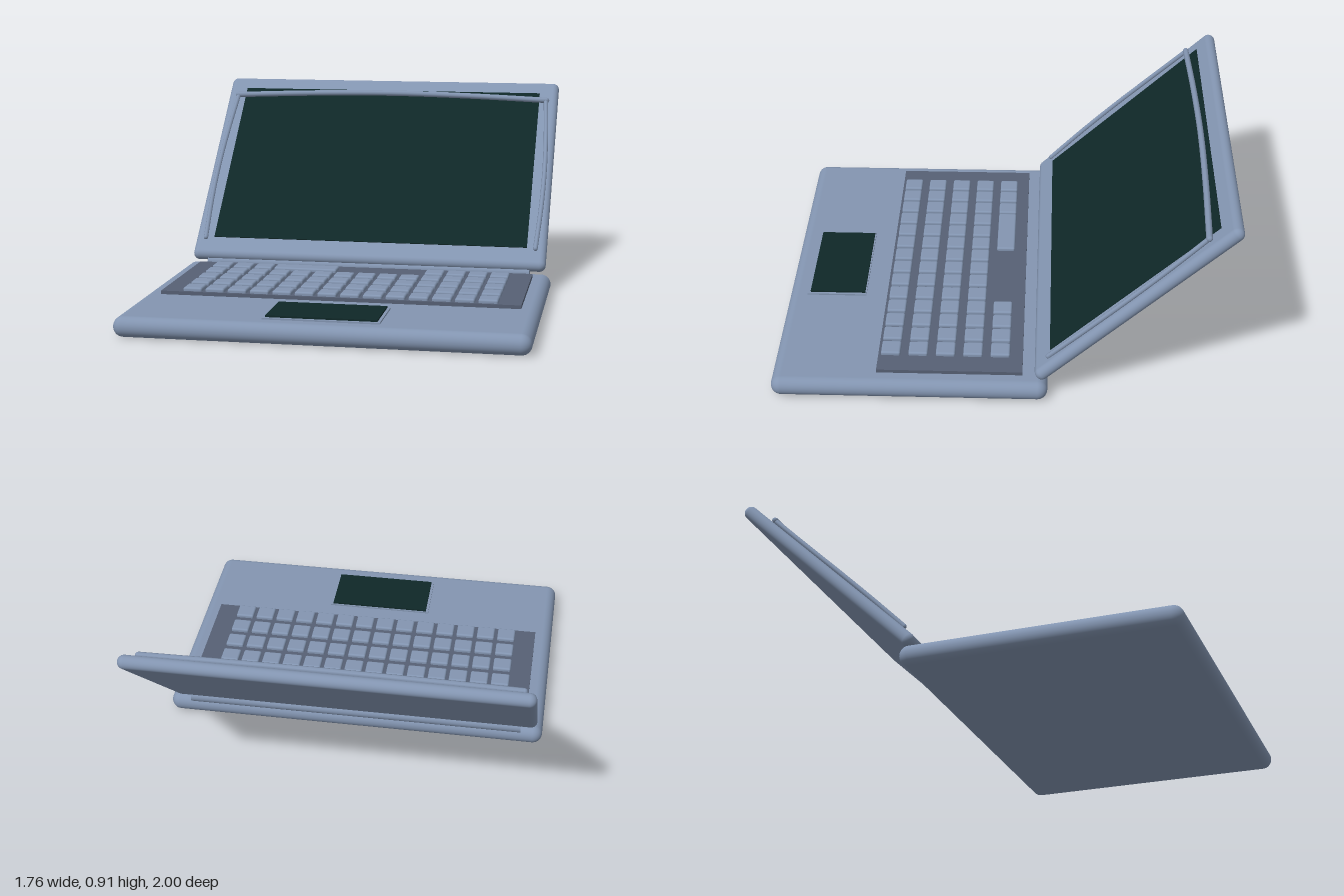
import * as THREE from 'three';
import { RoundedBoxGeometry } from 'three/addons/geometries/RoundedBoxGeometry.js';

const material = (name, color) => {
  const m = new THREE.MeshStandardMaterial({ color });
  m.name = name;
  return m;
};

export function createModel() {
  const casing = material('blue grey casing', 0x8395b1);
  const deck = material('dark grey deck', 0x566074);
  const glass = material('dark green glass', 0x0f2727);

  const model = new THREE.Group();
  model.name = 'laptop';

  const add = (parent, name, geometry, mat, x = 0, y = 0, z = 0) => {
    const mesh = new THREE.Mesh(geometry, mat);
    mesh.name = name;
    mesh.position.set(x, y, z);
    parent.add(mesh);
    return mesh;
  };

  // Base with fully rounded rim
  add(model, 'base', new RoundedBoxGeometry(1.76, 0.09, 1.21, 5, 0.0445), casing, 0, 0.045, 0.395);

  // Keyboard deck and trackpad
  add(model, 'keyboardDeck', new THREE.BoxGeometry(1.6, 0.025, 0.64), deck, 0, 0.0935, 0.22);
  add(model, 'trackpadFrame', new THREE.BoxGeometry(0.5, 0.012, 0.275), casing, 0, 0.091, 0.777);
  add(model, 'trackpad', new THREE.BoxGeometry(0.475, 0.009, 0.255), glass, 0, 0.1, 0.773);

  // Keys: the rear row has a long bar and a gap
  const keys = new THREE.Group();
  keys.name = 'keys';
  model.add(keys);
  const keyShape = new RoundedBoxGeometry(0.086, 0.03, 0.086, 2, 0.009);
  for (let row = 0; row < 5; row++) {
    for (let col = 0; col < 14; col++) {
      if (row === 0 && col > 2 && col < 10) continue;
      add(keys, 'key', keyShape, casing, -0.659 + col * 0.1012, 0.107, row * 0.1213);
    }
  }
  add(keys, 'longKey', new RoundedBoxGeometry(0.298, 0.03, 0.086, 2, 0.009), casing, -0.254, 0.107, 0);

  // Hinge barrel
  const hinge = add(model, 'hinge', new THREE.CylinderGeometry(0.03, 0.03, 1.56, 16), casing, 0, 0.092, -0.183);
  hinge.rotation.z = Math.PI / 2;

  // Lid, built upright from its lower edge and leaned back
  const lid = new THREE.Group();
  lid.name = 'lid';
  lid.position.set(0, 0.13, -0.185);
  lid.rotation.x = -Math.atan2(0.785, 0.75);
  model.add(lid);
  add(lid, 'lidPanel', new RoundedBoxGeometry(1.71, 1.146, 0.06, 5, 0.0295), casing, 0, 0.543, 0);
  add(lid, 'screen', new THREE.BoxGeometry(1.525, 0.956, 0.008), glass, 0, 0.555, 0.029);

  // Slim bowed bars around the screen
  const bar = (name, points, radius) => {
    const curve = new THREE.CatmullRomCurve3(points.map(p => new THREE.Vector3(...p)));
    add(lid, name, new THREE.TubeGeometry(curve, 20, radius, 8), casing);
    for (const p of [points[0], points[points.length - 1]]) {
      add(lid, name + 'End', new THREE.SphereGeometry(radius, 8, 6), casing, ...p);
    }
  };
  bar('topBar', [[-0.8, 0.978, 0.044], [-0.4, 0.996, 0.046], [0, 1.004, 0.047],
    [0.4, 0.996, 0.046], [0.8, 0.978, 0.044]], 0.014);
  for (const s of [-1, 1]) {
    bar(s > 0 ? 'leftBar' : 'rightBar', [[s * 0.803, 0.07, 0.036], [s * 0.815, 0.3, 0.04],
      [s * 0.818, 0.52, 0.041], [s * 0.811, 0.75, 0.041], [s * 0.797, 0.978, 0.043]], 0.011);
  }

  return model;
}
